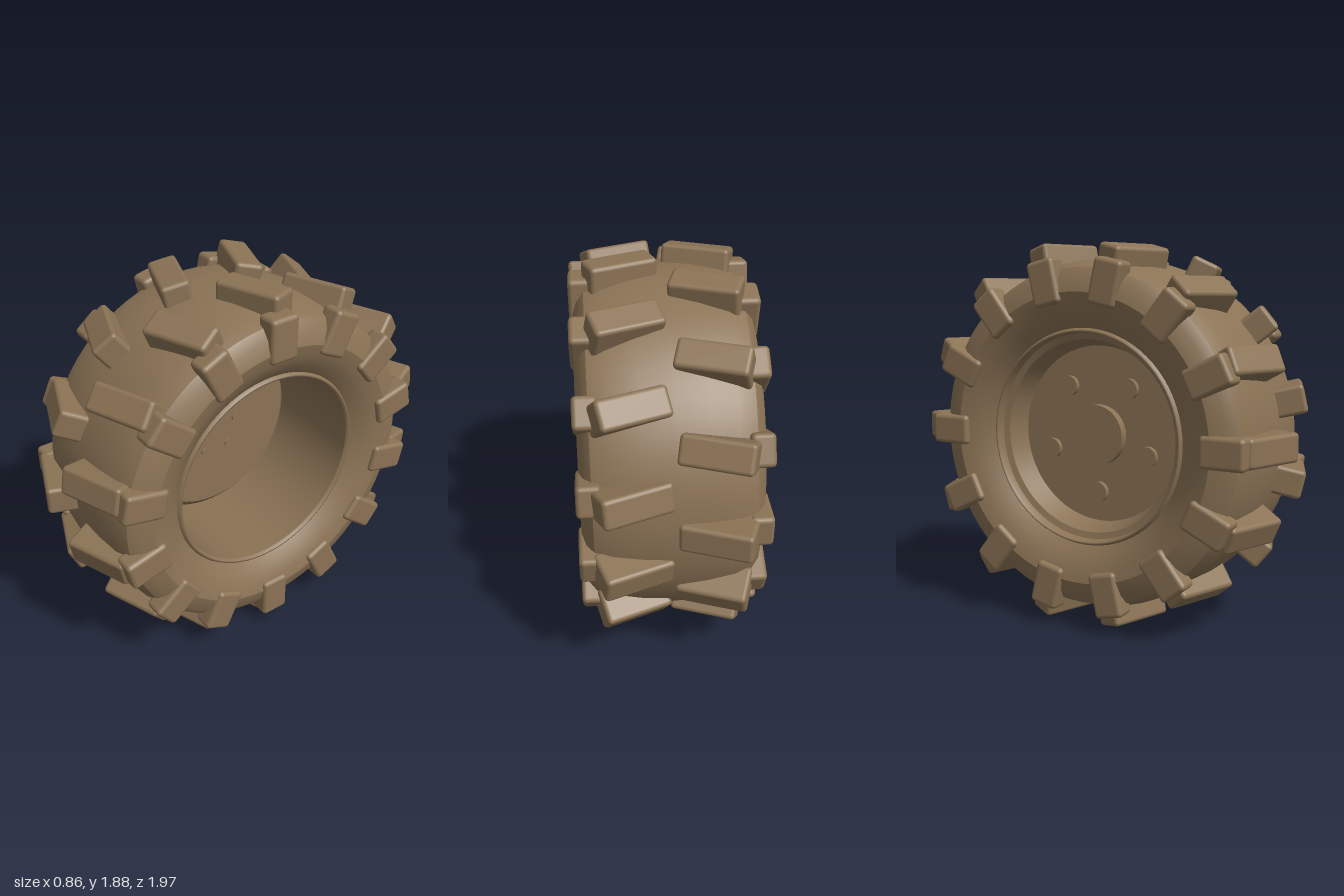
import * as THREE from 'three';
import { RoundedBoxGeometry } from 'three/addons/geometries/RoundedBoxGeometry.js';

const CENTER_Y = 0.942;
const LUGS = 14;

export function createModel() {
  const brown = new THREE.MeshStandardMaterial({ color: 0x8b7355 });
  brown.name = 'brown';

  const root = new THREE.Group();
  root.name = 'wheel';
  const wheel = new THREE.Group();
  wheel.name = 'wheelAssembly';
  wheel.position.y = CENTER_Y;
  root.add(wheel);

  function add(name, geometry, parent = wheel) {
    const mesh = new THREE.Mesh(geometry, brown);
    mesh.name = name;
    parent.add(mesh);
    return mesh;
  }

  // Surface turned around the axle (x); points are [x, radius]
  function turned(name, points) {
    const g = new THREE.LatheGeometry(points.map(([x, r]) => new THREE.Vector2(r, x)), 72);
    g.rotateZ(-Math.PI / 2);
    return add(name, g);
  }

  // Tyre carcass, split where the edges are sharp
  turned('leftSidewall', [[0.415, 0.70], [0.40, 0.64], [0.37, 0.58], [0.33, 0.53]]);
  turned('rightSidewall', [[-0.33, 0.53], [-0.37, 0.58], [-0.40, 0.64], [-0.415, 0.70]]);
  turned('leftShoulder', [[0.36, 0.815], [0.395, 0.77], [0.415, 0.70]]);
  turned('rightShoulder', [[-0.415, 0.70], [-0.395, 0.77], [-0.36, 0.815]]);
  turned('treadBand', [[-0.36, 0.815], [-0.28, 0.845], [-0.15, 0.86], [0, 0.865],
    [0.15, 0.86], [0.28, 0.845], [0.36, 0.815]]);

  // Rim: lips, barrel and dished disc
  turned('leftRimLip', [[0.33, 0.53], [0.345, 0.522], [0.345, 0.512], [0.33, 0.505]]);
  turned('rimBarrel', [[0.33, 0.505], [-0.24, 0.505]]);
  turned('discShoulder', [[-0.24, 0.505], [-0.16, 0.475], [-0.13, 0.44]]);
  turned('discInnerFace', [[-0.13, 0.44], [-0.13, 0]]);
  turned('discOuterFace', [[-0.18, 0], [-0.18, 0.44]]);
  turned('dishWall', [[-0.18, 0.44], [-0.29, 0.475]]);
  turned('dishStep', [[-0.29, 0.475], [-0.30, 0.505]]);
  turned('rightRimLip', [[-0.30, 0.505], [-0.345, 0.512], [-0.345, 0.522], [-0.33, 0.53]]);

  // Short cylinder along the axle, from x0 to x1
  function plug(name, radius, x0, x1, y = 0, z = 0) {
    const g = new THREE.CylinderGeometry(radius, radius, x1 - x0, 32);
    g.rotateZ(Math.PI / 2);
    add(name, g).position.set((x0 + x1) / 2, y, z);
  }

  // Hub caps and bolts on both faces of the disc
  plug('innerHubCap', 0.16, -0.14, -0.115);
  plug('outerHubCap', 0.15, -0.225, -0.17);
  for (let i = 0; i < 5; i++) {
    const a = Math.PI / 2 + (i * Math.PI * 2) / 5;
    plug('innerBolt', 0.02, -0.12, -0.105, 0.128 * Math.sin(a), 0.128 * Math.cos(a));
    plug('wheelBolt', 0.05, -0.205, -0.17, -0.29 * Math.sin(a), -0.29 * Math.cos(a));
  }

  // Slanted tread lugs and radial shoulder lugs, staggered between the sides
  const treadLug = new RoundedBoxGeometry(0.33, 0.14, 0.18, 2, 0.02);
  const sideLug = new RoundedBoxGeometry(0.11, 0.15, 0.22, 2, 0.022);
  for (const side of [1, -1]) {
    const lugs = new THREE.Group();
    lugs.name = side > 0 ? 'leftLugs' : 'rightLugs';
    wheel.add(lugs);
    for (let i = 0; i < LUGS; i++) {
      const a = ((i + (side > 0 ? 0.5 : 0)) / LUGS) * Math.PI * 2;
      const s = Math.sin(a), c = Math.cos(a);
      const tread = add('treadLug', treadLug, lugs);
      tread.position.set(side * 0.19, 0.85 * s, 0.85 * c);
      tread.rotation.set(-a, side * 0.36, 0, 'YXZ');
      const shoulder = add('shoulderLug', sideLug, lugs);
      shoulder.position.set(side * 0.375, 0.758 * s, 0.758 * c);
      shoulder.rotation.x = -a;
    }
  }
  return root;
}
